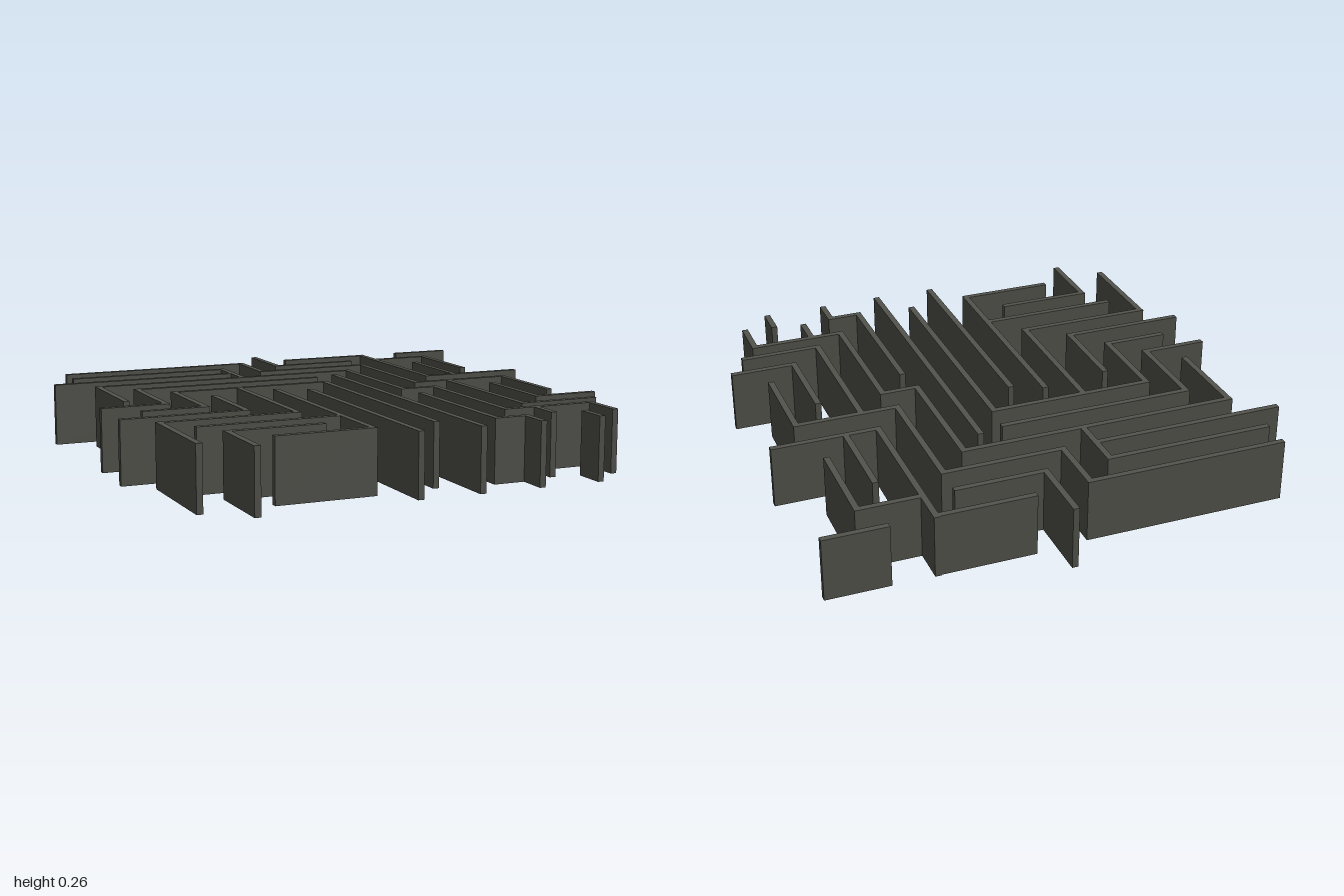
import * as THREE from 'three';

const HEIGHT = 0.256;
const THICK = 0.025;

// Each wall run is a path of [x, z] points: free ends, and centres of corners
const RUNS = {
  // back left
  steppedWall: [[-0.88, -0.838], [-0.057, -0.838], [-0.057, -0.581], [0.434, -0.581], [0.434, -0.031], [0.856, -0.031], [0.856, 0.357]],
  hookWall: [[-0.885, -0.71], [-0.196, -0.71], [-0.196, -0.455]],
  backLeftSpur: [[-1, -0.581], [-0.196, -0.581]],
  longSteppedWall: [[-0.844, 0.06 * -1], [-0.844, -0.455], [0.305, -0.455], [0.305, 0.1], [0.454, 0.1], [0.454, 0.697], [0.839, 0.697], [0.839, 0.875]],
  leftStepWall: [[0.1, -0.327], [-0.716, -0.327], [-0.716, 0.052], [-0.985, 0.052]],
  // centre
  archWall: [[-0.858, 0.178], [-0.596, 0.178], [-0.596, -0.2], [0.081, -0.2], [0.081, 0.832]],
  innerStepWall: [[-0.313, -0.2], [-0.313, 0.432], [-0.87, 0.432], [-0.87, 0.87]],
  leftHookWall: [[-0.476, -0.057], [-0.476, 0.314], [-0.99, 0.314]],
  frontHookWall: [[-0.187, 0.1 * -1], [-0.187, 0.844], [-0.58, 0.844]],
  frontLeftSpur: [[-0.777, 0.568], [-0.187, 0.568]],
  frontLeftCorner: [[-0.313, 0.694], [-0.7, 0.694], [-0.7, 0.993]],
  centreWall: [[-0.057, -0.043], [-0.057, 0.98]],
  centreRightWall: [[0.198, -0.362], [0.198, 0.985]],
  // back right
  backCorner: [[0.069, -1], [0.069, -0.71], [0.44, -0.71]],
  backRightSpur: [[0.165, -0.854], [0.56, -0.854]],
  backRightWall: [[0.56, -0.87], [0.56, -0.173], [0.998, -0.173]],
  backRightHook: [[0.56, -0.71], [0.814, -0.71], [0.814, -0.317]],
  backRightPost: [[0.695, -0.561], [0.695, -0.173]],
  isolatedWall: [[0.737, -0.854], [0.995, -0.854]],
  // front right
  rightCorner: [[0.585, -0.031], [0.585, 0.604], [0.919, 0.604]],
  rightHook: [[0.724, 0.108], [0.724, 0.482], [0.993, 0.482]],
  frontRightStep: [[0.325, 0.226], [0.325, 0.852], [0.454, 0.852], [0.454, 0.982]],
  frontRightSpur: [[0.585, 0.697], [0.585, 0.838]],
  frontRightStub: [[0.711, 0.854], [0.711, 0.982]],
};

// One box per straight stretch; stretches reach half a thickness past corners
function buildRun(name, points, material) {
  const run = new THREE.Group();
  run.name = name;
  for (let i = 0; i < points.length - 1; i++) {
    const a = new THREE.Vector2(...points[i]);
    const b = new THREE.Vector2(...points[i + 1]);
    const dir = b.clone().sub(a).normalize();
    if (i > 0) a.addScaledVector(dir, -THICK / 2);
    if (i < points.length - 2) b.addScaledVector(dir, THICK / 2);
    const alongX = Math.abs(dir.x) > 0.5;
    const length = a.distanceTo(b);
    const wall = new THREE.Mesh(
      new THREE.BoxGeometry(alongX ? length : THICK, HEIGHT, alongX ? THICK : length),
      material
    );
    wall.name = 'wallSegment';
    wall.position.set((a.x + b.x) / 2, HEIGHT / 2, (a.y + b.y) / 2);
    run.add(wall);
  }
  return run;
}

export function createModel() {
  const model = new THREE.Group();
  model.name = 'mazeWalls';
  const material = new THREE.MeshStandardMaterial({ color: 0x53534d });
  material.name = 'darkStone';
  for (const [name, points] of Object.entries(RUNS)) {
    model.add(buildRun(name, points, material));
  }
  return model;
}
